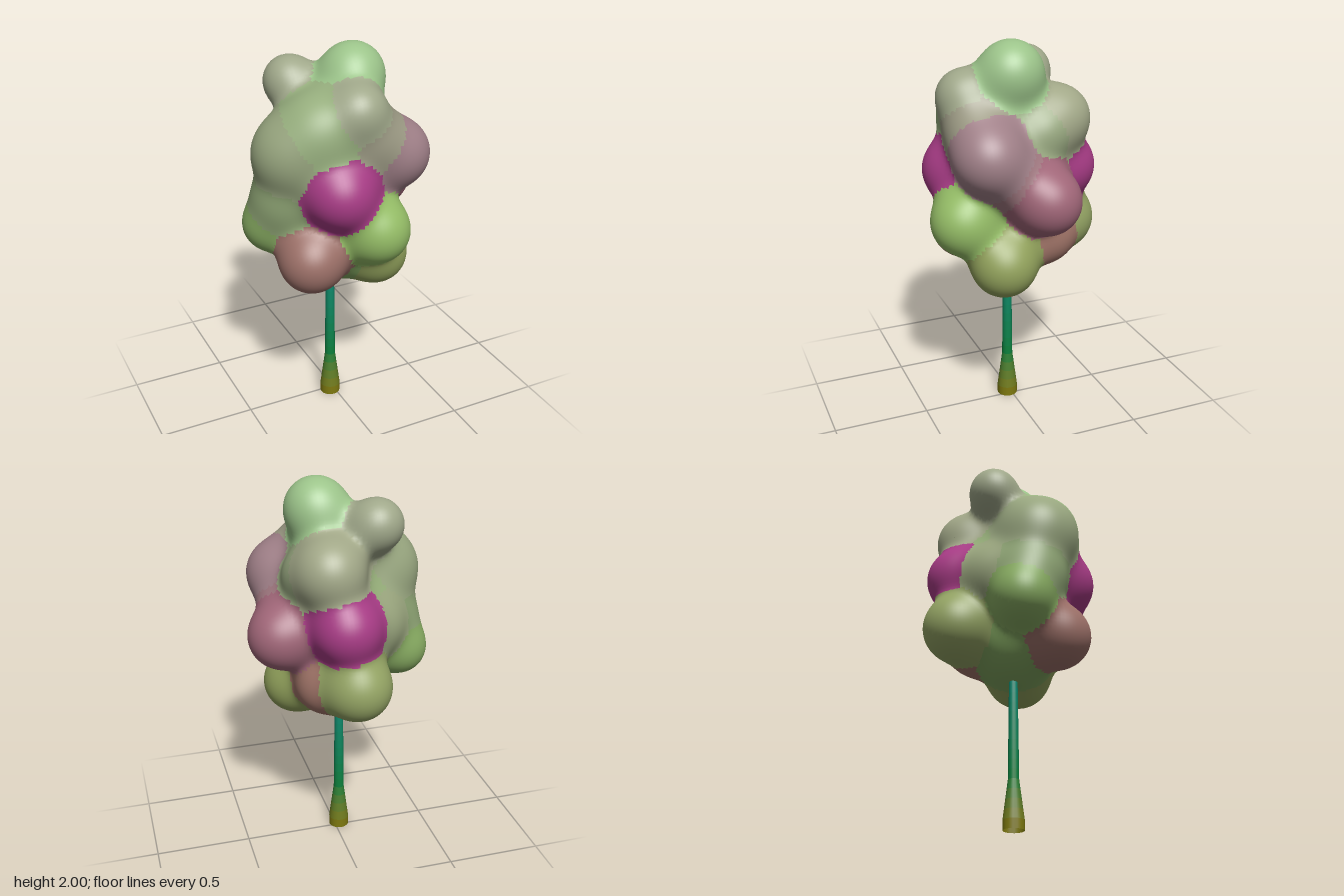
import * as THREE from 'three';

// Foliage lumps: name, centre x y z, radius, colour
const LUMPS = [
  ['crownTop', 0.087, 1.84, 0.04, 0.157, 0x9cc48a],
  ['crownBackRight', -0.17, 1.79, -0.14, 0.127, 0xa0a88a],
  ['crownFront', 0.01, 1.73, 0.265, 0.12, 0xa0a88a],
  ['upperBack', 0.085, 1.595, -0.21, 0.16, 0xa2a888],
  ['upperRight', -0.255, 1.5, 0.075, 0.195, 0x98a67f],
  ['upperFront', -0.13, 1.61, 0.14, 0.19, 0x98b07f],
  ['upperLeft', 0.24, 1.47, 0.215, 0.166, 0xa08088],
  ['upperLeftFront', 0.1, 1.57, 0.225, 0.14, 0x9c9a84],
  ['upperLeftKnob', 0.17, 1.55, -0.09, 0.1, 0x98a880],
  ['middleLeft', 0.302, 1.235, -0.07, 0.164, 0xa06678],
  ['middleLeftFill', 0.24, 1.35, 0.08, 0.11, 0xa07880],
  ['frontBlossom', -0.09, 1.33, 0.28, 0.16, 0xa83c86],
  ['backBlossom', 0.02, 1.32, -0.28, 0.156, 0xa83c86],
  ['middleRight', -0.27, 1.25, 0.03, 0.165, 0x8ea474],
  ['backRight', -0.15, 1.28, -0.13, 0.145, 0x9aa67e],
  ['lowerFront', 0.1, 1.11, 0.3, 0.164, 0x94bc66],
  ['lowerLeft', 0.19, 0.885, 0.12, 0.164, 0x92a25c],
  ['lowerRight', -0.213, 0.96, 0.2, 0.162, 0x9c7068],
  ['outerRight', -0.335, 1.09, -0.04, 0.135, 0x88ac62],
  ['lowerBack', -0.035, 1.01, -0.295, 0.168, 0x94a464],
  ['lowerBackLeft', 0.1, 0.97, -0.15, 0.13, 0xa07468],
  ['lowerCore', -0.01, 0.965, 0.03, 0.2, 0x80a45e],
  ['core', 0, 1.33, 0, 0.25, 0x94ac78],
  ['upperCore', 0.01, 1.6, 0.03, 0.16, 0x9ab084],
];
const BLEND = 0.045;
const CELL = 0.02;
const sphereDist = (l, p) => Math.hypot(p.x - l[1], p.y - l[2], p.z - l[3]) - l[4];

// Soft union of all lumps, negative inside
function field(p) {
  let sum = 0;
  for (const l of LUMPS) sum += Math.exp(-sphereDist(l, p) / BLEND);
  return -BLEND * Math.log(sum);
}

// Slope of the soft union
function gradient(p) {
  const e = 0.002, q = new THREE.Vector3();
  const slope = (x, y, z) =>
    (field(q.set(p.x + x, p.y + y, p.z + z)) - field(q.set(p.x - x, p.y - y, p.z - z))) / (2 * e);
  return new THREE.Vector3(slope(e, 0, 0), slope(0, e, 0), slope(0, 0, e));
}

// One continuous skin over the lumps, cut into a mesh per lump by nearness
function buildFoliage() {
  const min = new THREE.Vector3(-0.56, 0.64, -0.56);
  const size = [56, 72, 56];
  const stride = [1, size[0], size[0] * size[1]];
  const at = (x, y, z) => new THREE.Vector3(x, y, z).multiplyScalar(CELL).add(min);

  const values = [];
  for (let z = 0; z < size[2]; z++)
    for (let y = 0; y < size[1]; y++)
      for (let x = 0; x < size[0]; x++) values.push(field(at(x, y, z)));

  // Skin point of a grid cell: its middle, slid onto the surface
  const cache = new Map();
  const skinPoint = (id) => {
    if (!cache.has(id)) {
      const x = id % size[0], y = Math.floor(id / stride[1]) % size[1], z = Math.floor(id / stride[2]);
      const p = at(x + 0.5, y + 0.5, z + 0.5);
      for (let i = 0; i < 4; i++) {
        const g = gradient(p);
        p.addScaledVector(g, -field(p) / Math.max(g.lengthSq(), 0.1));
      }
      cache.set(id, { p, n: gradient(p).normalize() });
    }
    return cache.get(id);
  };

  // A quad wherever a grid edge crosses the surface
  const skins = LUMPS.map(() => ({ position: [], normal: [] }));
  const middle = new THREE.Vector3();
  for (let id = stride[2]; id < values.length - stride[2]; id++) {
    for (let axis = 0; axis < 3; axis++) {
      const inside = values[id] < 0;
      if (inside === values[id + stride[axis]] < 0) continue;
      const b = stride[(axis + 1) % 3], c = stride[(axis + 2) % 3];
      const quad = [id, id - b, id - b - c, id - c].map(skinPoint);
      if (!inside) quad.reverse();
      middle.set(0, 0, 0);
      quad.forEach((v) => middle.addScaledVector(v.p, 0.25));
      const dists = LUMPS.map((l) => sphereDist(l, middle));
      const skin = skins[dists.indexOf(Math.min(...dists))];
      for (const k of [0, 1, 2, 0, 2, 3]) {
        skin.position.push(...quad[k].p.toArray());
        skin.normal.push(...quad[k].n.toArray());
      }
    }
  }

  const foliage = new THREE.Group();
  foliage.name = 'foliage';
  skins.forEach((skin, i) => {
    if (!skin.position.length) return;
    const geo = new THREE.BufferGeometry();
    geo.setAttribute('position', new THREE.Float32BufferAttribute(skin.position, 3));
    geo.setAttribute('normal', new THREE.Float32BufferAttribute(skin.normal, 3));
    const mesh = new THREE.Mesh(geo, new THREE.MeshStandardMaterial({ color: LUMPS[i][5] }));
    mesh.name = LUMPS[i][0];
    foliage.add(mesh);
  });
  return foliage;
}

export function createModel() {
  const model = new THREE.Group();
  model.name = 'tree';
  model.add(buildFoliage());

  // Trunk: flared foot and slim stem, shading from olive to teal in short bands
  const trunk = new THREE.Group();
  trunk.name = 'trunk';
  trunk.position.set(-0.024, 0, 0.018);
  const radiusAt = (y) =>
    y < 0.05 ? 0.054 : y < 0.25 ? 0.054 - (y - 0.05) * 0.13 : 0.028 - (y - 0.25) * 0.011;
  const shades = [[0, 0x847804], [0.25, 0x0c8038], [0.75, 0x0e8a72]];
  const colourAt = (y) => {
    const k = y > 0.25 ? 1 : 0;
    const [y0, c0] = shades[k], [y1, c1] = shades[k + 1];
    return new THREE.Color(c0).lerp(new THREE.Color(c1), (y - y0) / (y1 - y0));
  };
  const step = 0.05;
  for (let i = 0; i < 16; i++) {
    const y = i * step;
    const band = new THREE.Mesh(
      new THREE.CylinderGeometry(radiusAt(y + step), radiusAt(y), step, 16, 1, true),
      new THREE.MeshStandardMaterial({ color: colourAt(y + step / 2), side: THREE.DoubleSide })
    );
    band.position.y = y + step / 2;
    band.name = 'trunkBand';
    trunk.add(band);
  }
  model.add(trunk);

  // Short branch reaching into the foliage
  const branchPath = new THREE.LineCurve3(new THREE.Vector3(-0.02, 0.73, 0.02), new THREE.Vector3(0.07, 0.8, 0.07));
  const branch = new THREE.Mesh(
    new THREE.TubeGeometry(branchPath, 1, 0.013, 10),
    new THREE.MeshStandardMaterial({ color: 0x0e8a72 })
  );
  branch.name = 'branch';
  model.add(branch);
  return model;
}
